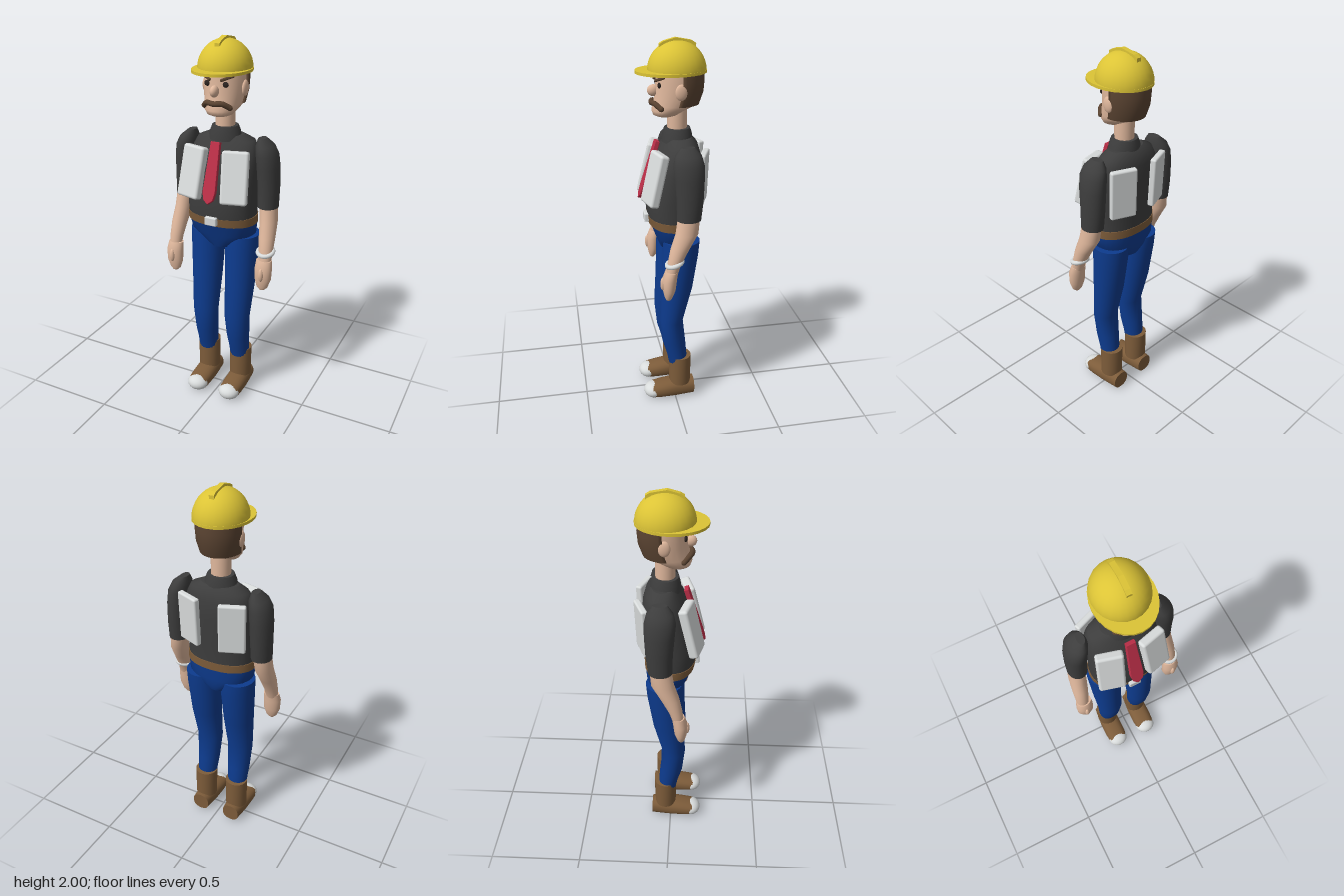
import * as THREE from 'three';
import { RoundedBoxGeometry } from 'three/addons/geometries/RoundedBoxGeometry.js';

const mat = (name, color) => {
  const m = new THREE.MeshStandardMaterial({ color });
  m.name = name;
  return m;
};

// Closed skin through oval sections [y, centreX, centreZ, radiusX, radiusZ], listed upwards.
// half = only the rear half of each oval; e < 1 makes the ovals boxier.
function loft(sections, { n = 24, e = 1, half = false } = {}) {
  const pos = [], idx = [];
  const pw = (v) => Math.sign(v) * Math.abs(v) ** e;
  const ring = ([y, cx, cz, rx, rz]) => {
    const start = pos.length / 3;
    for (let j = 0; j < n; j++) {
      const a = half ? Math.PI + (Math.PI * j) / (n - 1) : (2 * Math.PI * j) / n;
      pos.push(cx + rx * pw(Math.cos(a)), y, cz + rz * pw(Math.sin(a)));
    }
    return start;
  };
  const starts = sections.map(ring);
  for (let i = 0; i + 1 < starts.length; i++) {
    for (let j = 0; j < n; j++) {
      const k = (j + 1) % n, s = starts[i], t = starts[i + 1];
      idx.push(s + j, t + j, s + k, s + k, t + j, t + k);
    }
  }
  // End caps with their own rings, so the rims stay sharp
  [sections[0], sections[sections.length - 1]].forEach((sec, top) => {
    const s = ring(sec), c = pos.length / 3;
    pos.push(sec[1], sec[0], sec[2]);
    for (let j = 0; j < n; j++) {
      const k = (j + 1) % n;
      if (top) idx.push(c, s + k, s + j);
      else idx.push(c, s + j, s + k);
    }
  });
  const g = new THREE.BufferGeometry();
  g.setAttribute('position', new THREE.Float32BufferAttribute(pos, 3));
  g.setIndex(idx);
  g.computeVertexNormals();
  return g;
}

const ball = (x, y, z, rx, ry, rz) =>
  new THREE.SphereGeometry(1, 20, 14).scale(rx, ry, rz).translate(x, y, z);

export function createModel() {
  const root = new THREE.Group();
  root.name = 'builder';
  const skin = mat('skin', 0xdfb79c), shirt = mat('charcoal', 0x3d3d3d);
  const blue = mat('blue', 0x0d3b8e), leather = mat('leather', 0x7d5c3a);
  const hairBrown = mat('hairBrown', 0x5b4432), silver = mat('silver', 0xd9dcdc);
  const red = mat('red', 0xbd2f48), yellow = mat('yellow', 0xdcc436), dark = mat('dark', 0x2b2320);

  const add = (name, geometry, material) => {
    const m = new THREE.Mesh(geometry, material);
    m.name = name;
    root.add(m);
    return m;
  };

  // Torso, collar and neck
  add('torso', loft([
    [1.09, 0, -.005, .186, .133], [1.2, 0, 0, .185, .138], [1.35, 0, -.02, .185, .128],
    [1.44, 0, -.037, .18, .105], [1.49, 0, -.045, .155, .082], [1.515, 0, -.04, .1, .06],
  ], { n: 32, e: .88 }), shirt);
  add('collar', loft([[1.49, 0, -.03, .09, .08], [1.53, 0, -.03, .08, .075], [1.56, 0, -.03, .068, .066]]), shirt);
  add('neck', loft([[1.52, 0, -.03, .05, .05], [1.68, 0, -.03, .05, .05]]), skin);

  // Belt, buckle and hips
  add('belt', loft([[1.055, 0, -.008, .19, .132], [1.1, 0, -.005, .19, .136]], { n: 32, e: .88 }), leather);
  add('buckle', new RoundedBoxGeometry(.066, .046, .03, 3, .006).translate(0, 1.087, .133), silver);
  add('hips', loft([
    [.91, 0, -.025, .065, .085], [.945, 0, -.025, .12, .1],
    [.99, 0, -.02, .178, .112], [1.06, 0, -.01, .187, .128],
  ], { n: 32, e: .88 }), blue);

  // Tie: a tapered strip leaning along the chest
  const tieShape = new THREE.Shape();
  [[-.022, .15], [.022, .15], [.032, -.1], [.024, -.14], [0, -.16], [-.024, -.14], [-.032, -.1]]
    .forEach(([x, y], i) => (i ? tieShape.lineTo(x, y) : tieShape.moveTo(x, y)));
  const tie = add('tie', new THREE.ExtrudeGeometry(tieShape, {
    depth: .018, bevelSize: .003, bevelThickness: .003, bevelSegments: 2,
  }), red);
  tie.position.set(0, 1.345, .11);
  tie.rotation.x = -.3;

  for (const [side, s] of [['left', 1], ['right', -1]]) {
    const part = (name, geometry, material) => add(side + name, geometry, material);
    // Mirrors the centre x of each section
    const limb = (sections, opts) => loft(sections.map(([y, x, ...r]) => [y, x * s, ...r]), opts);

    // Chest and back panels
    const chest = part('ChestPanel', new RoundedBoxGeometry(.138, .27, .05, 3, .014), silver);
    chest.position.set(.119 * s, 1.33, .105);
    chest.rotation.set(-.24, .26 * s, 0, 'YXZ');
    const back = part('BackPanel', new RoundedBoxGeometry(.138, .265, .034, 3, .01), silver);
    back.position.set(.12 * s, 1.328, -.141);
    back.rotation.set(-.04, -.38 * s, 0, 'YXZ');

    // Arm
    part('Sleeve', limb([
      [1.15, .241, -.045, .054, .061], [1.25, .24, -.05, .056, .067], [1.36, .236, -.048, .058, .074],
      [1.43, .229, -.045, .056, .077], [1.475, .216, -.045, .046, .065], [1.51, .2, -.045, .02, .035],
    ]), shirt);
    part('Forearm', limb([
      [.87, .268, .045, .033, .03], [.92, .266, .034, .037, .035], [1, .26, .004, .043, .048],
      [1.08, .252, -.033, .046, .058], [1.17, .243, -.045, .047, .055],
    ]), skin);
    part('Hand', limb([
      [.72, .263, .064, .015, .012], [.735, .263, .063, .03, .02], [.78, .265, .06, .045, .033],
      [.84, .266, .058, .047, .038], [.885, .264, .046, .042, .033],
    ]), skin);
    part('Thumb', ball(.266 * s, .815, .092, .014, .037, .014), skin);

    // Leg
    part('Leg', limb([
      [.21, .1, -.02, .054, .049], [.28, .099, -.012, .058, .055], [.36, .098, .003, .064, .063],
      [.5, .097, .018, .073, .063], [.7, .1, -.012, .083, .083],
      [.9, .101, -.03, .092, .095], [.98, .105, -.035, .09, .096],
    ]), blue);

    // Boot: shaft, foot and steel toe
    part('BootShaft', limb([[.09, .1, -.03, .062, .06], [.265, .1, -.03, .063, .062]]), leather);
    part('BootFoot', limb([
      [-.107, .1, -.055, .05, .05], [0, .1, -.055, .061, .053], [.08, .1, -.048, .061, .046], [.13, .1, -.044, .057, .04],
    ], { e: .85 }).rotateX(Math.PI / 2), leather);
    part('ToeCap', ball(.1 * s, .044, .122, .06, .043, .054), silver);

    // Face details
    part('Ear', ball(.108 * s, 1.755, -.03, .014, .04, .03), skin);
    part('Eye', ball(.05 * s, 1.782, .068, .016, .014, .008), dark);
    const brow = part('Eyebrow', new RoundedBoxGeometry(.072, .014, .014, 2, .005), hairBrown);
    brow.position.set(.057 * s, 1.813, .067);
    brow.rotation.set(0, .5 * s, .33 * s);
  }

  // Bracelet on one wrist
  const bracelet = add('bracelet', new THREE.TorusGeometry(.04, .012, 10, 24).rotateX(Math.PI / 2), silver);
  bracelet.position.set(.265, .927, .032);
  bracelet.rotation.x = .3;

  // Head
  const headSections = [
    [1.68, 0, -.02, .097, .112], [1.74, 0, -.036, .107, .117], [1.8, 0, -.04, .11, .118], [1.85, 0, -.04, .108, .114],
  ];
  add('head', loft([
    [1.622, 0, .035, .045, .04], [1.63, 0, .03, .065, .062], [1.652, 0, .015, .084, .085], ...headSections,
  ]), skin);
  add('hair', loft(headSections.map(([y, x, z, rx, rz]) => [y, x, z, rx + .007, rz + .007]), { half: true }), hairBrown);
  add('nose', ball(0, 1.75, .09, .021, .029, .031), skin);
  const lip = [[-.07, 1.67, .062], [-.04, 1.692, .09], [0, 1.69, .1], [.04, 1.692, .09], [.07, 1.67, .062]];
  add('moustache', new THREE.TubeGeometry(
    new THREE.CatmullRomCurve3(lip.map((p) => new THREE.Vector3(...p))), 20, .014, 8), hairBrown);
  for (const s of [-1, 1]) add('moustacheTip', ball(.07 * s, 1.67, .062, .014, .014, .014), hairBrown);

  // Hard hat: dome, brim and crest
  add('hatDome', new THREE.SphereGeometry(1, 24, 10, 0, Math.PI * 2, 0, Math.PI / 2)
    .scale(.136, .142, .146).translate(0, 1.845, -.028), yellow);
  add('hatBrim', loft([[1.835, 0, .002, .146, .178], [1.849, 0, .002, .146, .178]]), yellow);
  const crest = new THREE.Shape();
  [[.06, 1.94], [.06, 1.972], [.04, 1.984], [-.02, 2], [-.1, 1.985], [-.12, 1.972], [-.12, 1.94]]
    .forEach(([z, y], i) => (i ? crest.lineTo(z, y) : crest.moveTo(z, y)));
  add('hatCrest', new THREE.ExtrudeGeometry(crest, { depth: .026, bevelEnabled: false })
    .translate(0, 0, -.013).rotateY(-Math.PI / 2), yellow);

  return root;
}
